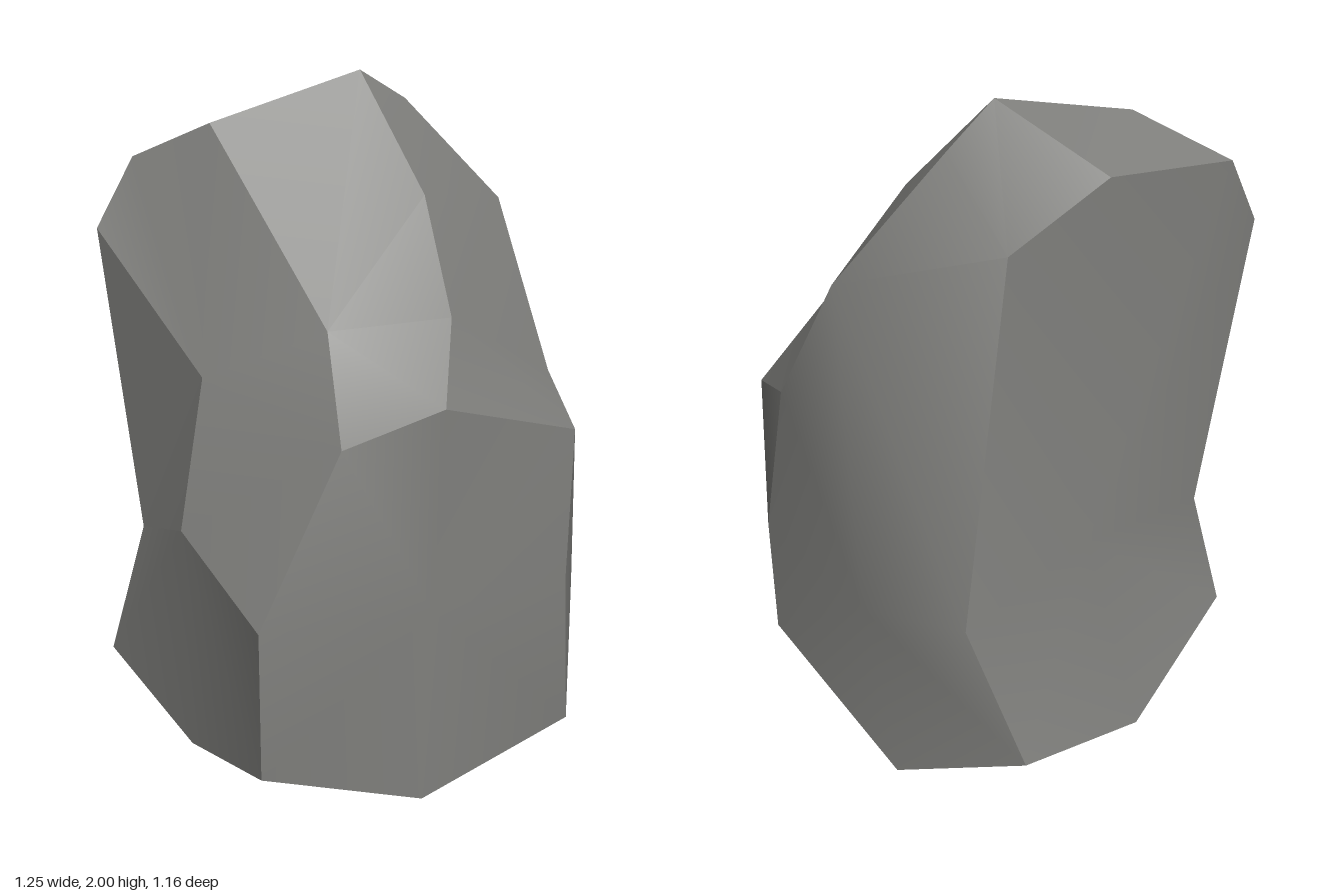
import * as THREE from 'three';

// Corners of the boulder, from the crown down to the base
const corner = {
  peak: [0.185, 2, -0.21], shoulder: [0.355, 1.91, -0.215], crownLeft: [-0.29, 1.87, -0.265],
  crownBack: [0, 1.805, -0.435], crownTip: [-0.41, 1.76, -0.515], notch: [0.26, 1.64, -0.33],
  bulge: [0.62, 1.605, -0.08], backUpper: [-0.53, 1.56, -0.525],
  ridgeHigh: [0.165, 1.68, 0.135], ridgeLow: [0.05, 1.4, 0.41], ridgeFoot: [-0.09, 1.21, 0.57],
  hollowTop: [-0.22, 1.36, 0.22], hollowFoot: [-0.315, 1.1, 0.425],
  waistHigh: [-0.445, 1.2, -0.07], waistLow: [-0.54, 0.77, -0.05],
  sideUpper: [0.545, 1.14, 0.26], sideLower: [0.48, 0.56, 0.47], sideDip: [0.51, 0.5, 0],
  cheekUpper: [0.435, 1.04, 0.5], cheekLower: [0.35, 0.63, 0.58], frontMiddle: [-0.12, 0.65, 0.565],
  nose: [-0.625, 0.7, 0.51], noseFoot: [-0.59, 0.24, 0.45],
  backWaist: [-0.46, 0.63, -0.455], backEdge: [0.48, 0.62, -0.39], backDip: [0, 0.68, -0.41],
  footBackLeft: [-0.56, 0.22, -0.51], footBack: [-0.06, 0.06, -0.585], footBackRight: [0.415, 0.2, -0.56],
  footRight: [0.545, 0, -0.16], footFrontRight: [0.45, 0.12, 0.51],
  footFront: [-0.15, 0.09, 0.575], footLeft: [-0.54, 0.1, -0.03], belly: [0, 0.055, -0.03],
};

// Broken faces: each is one or more fans, spread from the first corner of the fan
const facets = [
  // crown
  'crownLeft peak crownBack crownTip',
  // front slopes on both sides of the ridge
  'hollowTop hollowFoot ridgeFoot ridgeLow ridgeHigh peak crownLeft',
  'ridgeLow ridgeFoot cheekUpper sideUpper bulge ridgeHigh, ridgeHigh bulge shoulder peak',
  // slope behind the peak, running smoothly into the slightly hollow +x side
  'notch crownBack peak shoulder bulge backEdge, ' +
    'sideDip bulge sideUpper sideLower footFrontRight footRight footBackRight backEdge bulge',
  // chamfer between side and front
  'sideLower sideUpper cheekUpper cheekLower footFrontRight',
  // front
  'frontMiddle ridgeFoot hollowFoot nose noseFoot footFront footFrontRight cheekLower cheekUpper ridgeFoot',
  // -x side: upper, waist and lower
  'waistHigh waistLow hollowFoot hollowTop crownLeft crownTip backUpper, waistLow nose hollowFoot',
  'waistHigh backUpper backWaist waistLow',
  'waistLow backWaist footBackLeft footLeft noseFoot nose',
  // back
  'backDip backWaist backUpper crownTip crownBack notch backEdge footBackRight footBack footBackLeft backWaist',
  // underside
  'belly footFront noseFoot footLeft footBackLeft footBack footBackRight footRight footFrontRight footFront',
];

export function createModel() {
  const positions = [], indices = [];
  for (const facet of facets) {
    // Corners are shared inside a face only: soft within it, sharp at its borders
    const shared = {};
    const indexOf = (name) => {
      if (!(name in shared)) {
        shared[name] = positions.length / 3;
        positions.push(...corner[name]);
      }
      return shared[name];
    };
    for (const fan of facet.split(', ')) {
      const [hub, ...rim] = fan.split(' ').map(indexOf);
      for (let i = 0; i < rim.length - 1; i++) indices.push(hub, rim[i], rim[i + 1]);
    }
  }
  const geometry = new THREE.BufferGeometry();
  geometry.setAttribute('position', new THREE.Float32BufferAttribute(positions, 3));
  geometry.setIndex(indices);
  geometry.computeVertexNormals();

  const stone = new THREE.MeshStandardMaterial({ color: 0x80807d });
  stone.name = 'stone grey';
  const boulder = new THREE.Mesh(geometry, stone);
  boulder.name = 'boulder';

  const group = new THREE.Group();
  group.name = 'rock';
  group.add(boulder);
  return group;
}
